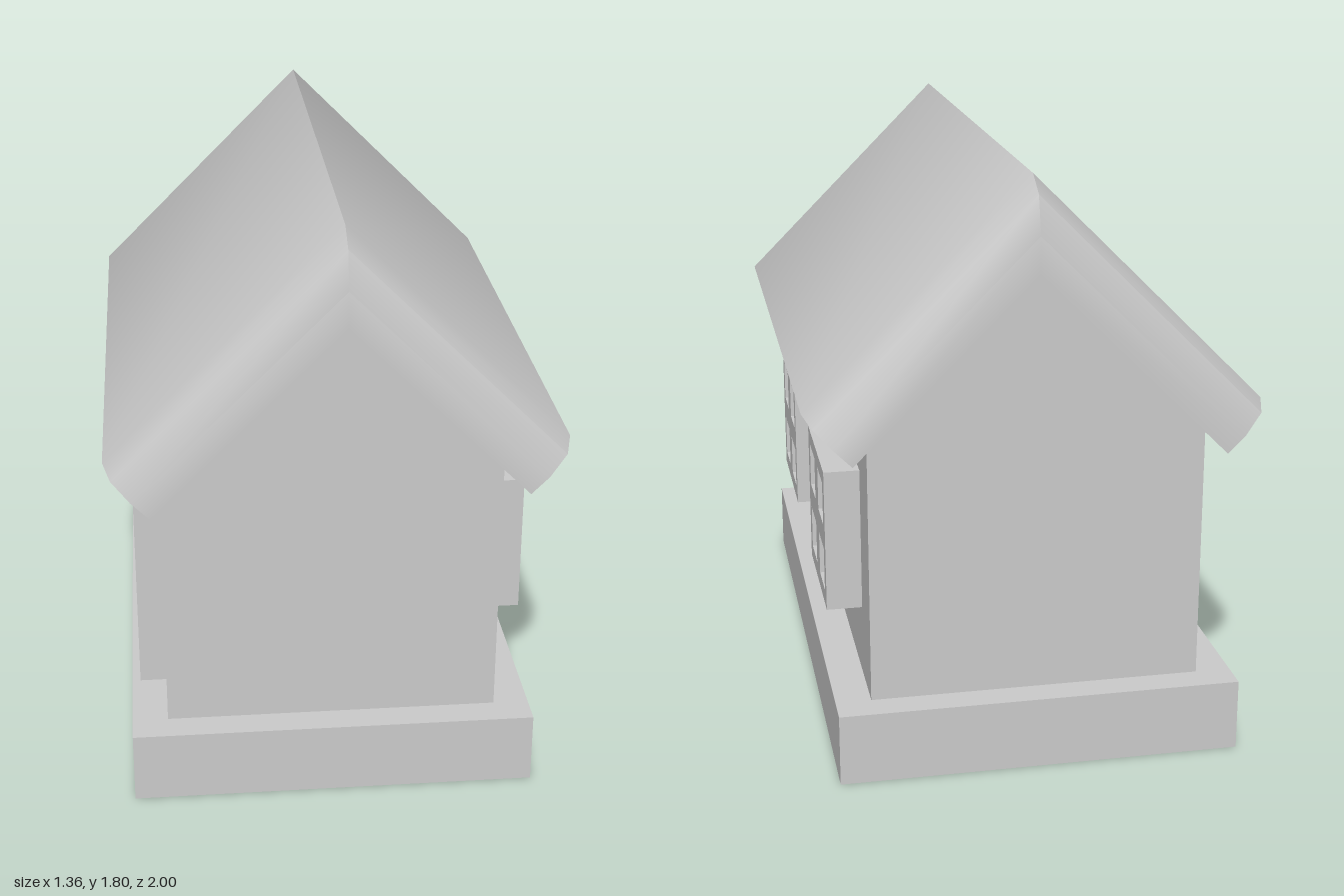
import * as THREE from 'three';
import { toCreasedNormals } from 'three/addons/utils/BufferGeometryUtils.js';

const material = new THREE.MeshStandardMaterial({ color: 0xcccccc });

function add(parent, name, geometry) {
  const mesh = new THREE.Mesh(geometry, material);
  mesh.name = name;
  parent.add(mesh);
  return mesh;
}

// Box given by its extents on each axis
function boxBetween(x0, x1, y0, y1, z0, z1) {
  return new THREE.BoxGeometry(x1 - x0, y1 - y0, z1 - z0)
    .translate((x0 + x1) / 2, (y0 + y1) / 2, (z0 + z1) / 2);
}

// Folded 45-degree roof; the outer surface drops by d towards rounded gable ends
function roofGeometry() {
  const ridgeX = 0.012, ridgeY = 1.805, left = 0.695, right = 0.664, thick = 0.185;
  const s = Math.SQRT1_2;
  const line = (d) => [
    [ridgeX - left + d * s, ridgeY - left - d * s],
    [ridgeX, ridgeY - d / s],
    [ridgeX + right - d * s, ridgeY - right - d * s],
  ];
  const half = [[1, 0.11], [0.967, 0.032], [0.89, 0]];
  const stations = [...half, ...half.map(([z, d]) => [-z, d]).reverse()];
  const rings = stations.map(([z, d]) =>
    [...line(d), ...line(thick).reverse()].map(([x, y]) => [x, y, z]));

  const positions = [];
  const quad = (a, b, c, d) => [a, b, c, a, c, d].forEach((p) => positions.push(...p));
  for (let i = 0; i < rings.length - 1; i++) {
    for (let j = 0; j < 6; j++) {
      const k = (j + 1) % 6;
      quad(rings[i][j], rings[i][k], rings[i + 1][k], rings[i + 1][j]);
    }
  }
  // gable end faces
  const f = rings[0], b = rings[rings.length - 1];
  quad(f[0], f[5], f[4], f[1]);
  quad(f[1], f[4], f[3], f[2]);
  quad(b[0], b[1], b[4], b[5]);
  quad(b[1], b[2], b[3], b[4]);

  const geometry = new THREE.BufferGeometry();
  geometry.setAttribute('position', new THREE.Float32BufferAttribute(positions, 3));
  return toCreasedNormals(geometry, THREE.MathUtils.degToRad(30));
}

// Window block: backing plate and a frame with four recessed panes
function createWindow(name, z) {
  const half = 0.222, pane = 0.068, offset = 0.11, recess = 0.05, depth = 0.108;
  const rect = (target, cx, cy, h) => {
    target.moveTo(cx - h, cy - h);
    target.lineTo(cx + h, cy - h);
    target.lineTo(cx + h, cy + h);
    target.lineTo(cx - h, cy + h);
    target.closePath();
    return target;
  };
  const shape = rect(new THREE.Shape(), 0, 0, half);
  for (const sx of [-1, 1]) {
    for (const sy of [-1, 1]) {
      shape.holes.push(rect(new THREE.Path(), sx * offset, sy * offset * 0.97, pane));
    }
  }
  const group = new THREE.Group();
  group.name = name;
  const frame = new THREE.ExtrudeGeometry(shape, { depth: recess, bevelEnabled: false })
    .translate(0, 0, depth - recess);
  add(group, 'windowFrame', frame);
  add(group, 'windowBack', boxBetween(-half, half, -half, half, 0, depth - recess));
  group.rotation.y = Math.PI / 2;
  group.position.set(0.49, 0.668, z);
  return group;
}

export function createModel() {
  const house = new THREE.Group();
  house.name = 'house';

  add(house, 'foundation', boxBetween(-0.63, 0.598, 0, 0.222, -0.967, 0.967));

  // gabled walls
  const gable = new THREE.Shape([
    [-0.522, 0.222], [0.49, 0.222], [0.49, 1.065], [0.012, 1.543], [-0.522, 1.009],
  ].map(([x, y]) => new THREE.Vector2(x, y)));
  add(house, 'walls', new THREE.ExtrudeGeometry(gable, { depth: 1.75, bevelEnabled: false })
    .translate(0, 0, -0.875));

  add(house, 'roof', roofGeometry());
  add(house, 'door', boxBetween(-0.605, -0.522, 0.222, 0.872, 0.07, 0.65));
  house.add(createWindow('frontWindow', 0.446), createWindow('backWindow', -0.474));

  return house;
}
